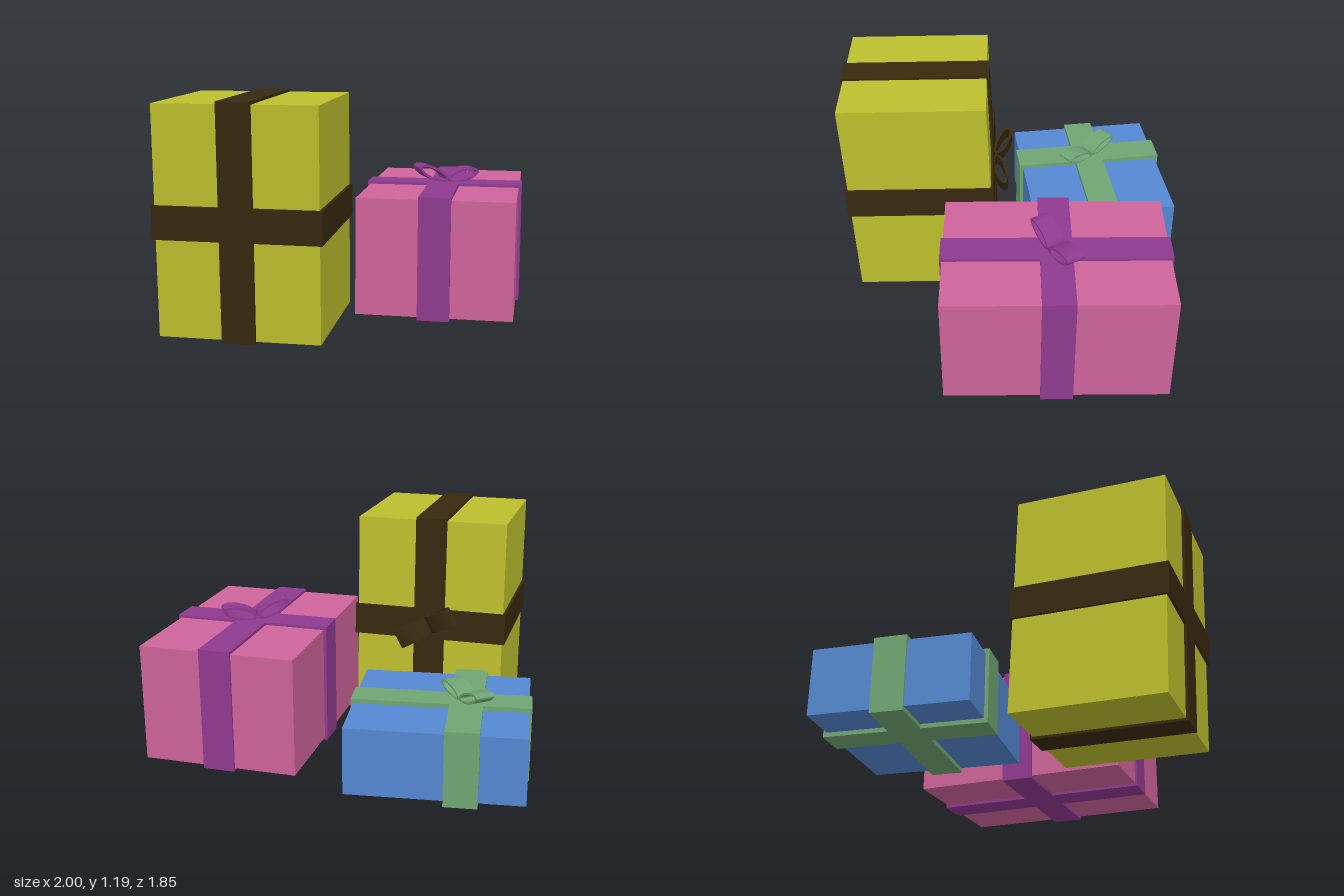
import * as THREE from 'three';
import { toCreasedNormals } from 'three/addons/utils/BufferGeometryUtils.js';

const paint = (name, color) => {
  const m = new THREE.MeshStandardMaterial({ color });
  m.name = name;
  return m;
};

// One flattened loop of ribbon, reaching out along +x (side 1) or -x (side -1)
function bowLoop(side, tilt) {
  const width = 0.1;
  const shape = new THREE.Shape().absellipse(0, 0, 0.093, 0.035, 0, Math.PI * 2);
  shape.holes.push(new THREE.Path().absellipse(0, 0, 0.078, 0.022, 0, Math.PI * 2, true));
  let geo = new THREE.ExtrudeGeometry(shape, { depth: width, bevelEnabled: false, curveSegments: 28 });
  geo = toCreasedNormals(geo, 0.7);
  geo.translate(side * 0.096, 0, -width / 2);
  geo.rotateZ(side * tilt);
  geo.translate(0, 0.01, 0);
  return geo;
}

// A box with two crossing ribbons and a bow; "place" moves it into position.
// box and wrap are [width, height, depth]; wrap is the outer size of the ribbons.
function gift({ name, box, wrap, ribbonX = 0, ribbonWidth, bowTurn, bowHeight = 1, paper, ribbon, place }) {
  const group = new THREE.Group();
  group.name = name;
  const add = (part, geo, material) => {
    const mesh = new THREE.Mesh(geo.applyMatrix4(place), material);
    mesh.name = part;
    group.add(mesh);
  };

  add('box', new THREE.BoxGeometry(...box), paper);
  add('ribbonAcross', new THREE.BoxGeometry(wrap[0], wrap[1], ribbonWidth), ribbon);
  add('ribbonLengthwise',
    new THREE.BoxGeometry(ribbonWidth, wrap[1], wrap[2]).translate(ribbonX, 0, 0), ribbon);

  // The bow sits where the ribbons cross, with one loop raised higher
  for (const [part, side, tilt] of [['bowLoopHigh', -1, 0.45], ['bowLoopLow', 1, 0.25]]) {
    const geo = bowLoop(side, tilt);
    geo.scale(1, bowHeight, 1).rotateY(bowTurn).translate(ribbonX, wrap[1] / 2, 0);
    add(part, geo, ribbon);
  }
  return group;
}

export function createModel() {
  const model = new THREE.Group();
  model.name = 'gifts';

  // Pink gift, standing upright
  model.add(gift({
    name: 'pinkGift',
    box: [0.815, 0.615, 1.15], wrap: [0.845, 0.645, 1.172],
    ribbonWidth: 0.167, bowTurn: 0.51,
    paper: paint('pinkPaper', 0xcd6399), ribbon: paint('purpleRibbon', 0x8f3a8f),
    place: new THREE.Matrix4().makeTranslation(0.574, 0.3425, -0.213),
  }));

  // Low blue gift, turned a little
  const turn = 0.124;
  model.add(gift({
    name: 'blueGift',
    box: [0.881, 0.345, 0.806], wrap: [0.902, 0.39, 0.844],
    ribbonX: -0.128, ribbonWidth: 0.167, bowTurn: -0.87 - turn, bowHeight: 0.8,
    paper: paint('bluePaper', 0x5487d0), ribbon: paint('greenRibbon', 0x6fa472),
    place: new THREE.Matrix4().makeRotationY(turn).setPosition(-0.512, 0.214, -0.472),
  }));

  // Yellow gift, lying on its side with its top to the back, leaning slightly
  const lean = new THREE.Matrix4().set(
    1, 0, 0, -0.315,
    0, 1, -0.014, 0.595,
    0, 0.037, 1, 0.503,
    0, 0, 0, 1);
  model.add(gift({
    name: 'yellowGift',
    box: [0.812, 0.772, 1.15], wrap: [0.84, 0.8, 1.178],
    ribbonWidth: 0.169, bowTurn: 0.51,
    paper: paint('yellowPaper', 0xbcbe2d), ribbon: paint('brownRibbon', 0x38290f),
    place: lean.multiply(new THREE.Matrix4().makeRotationX(-Math.PI / 2)),
  }));

  return model;
}
